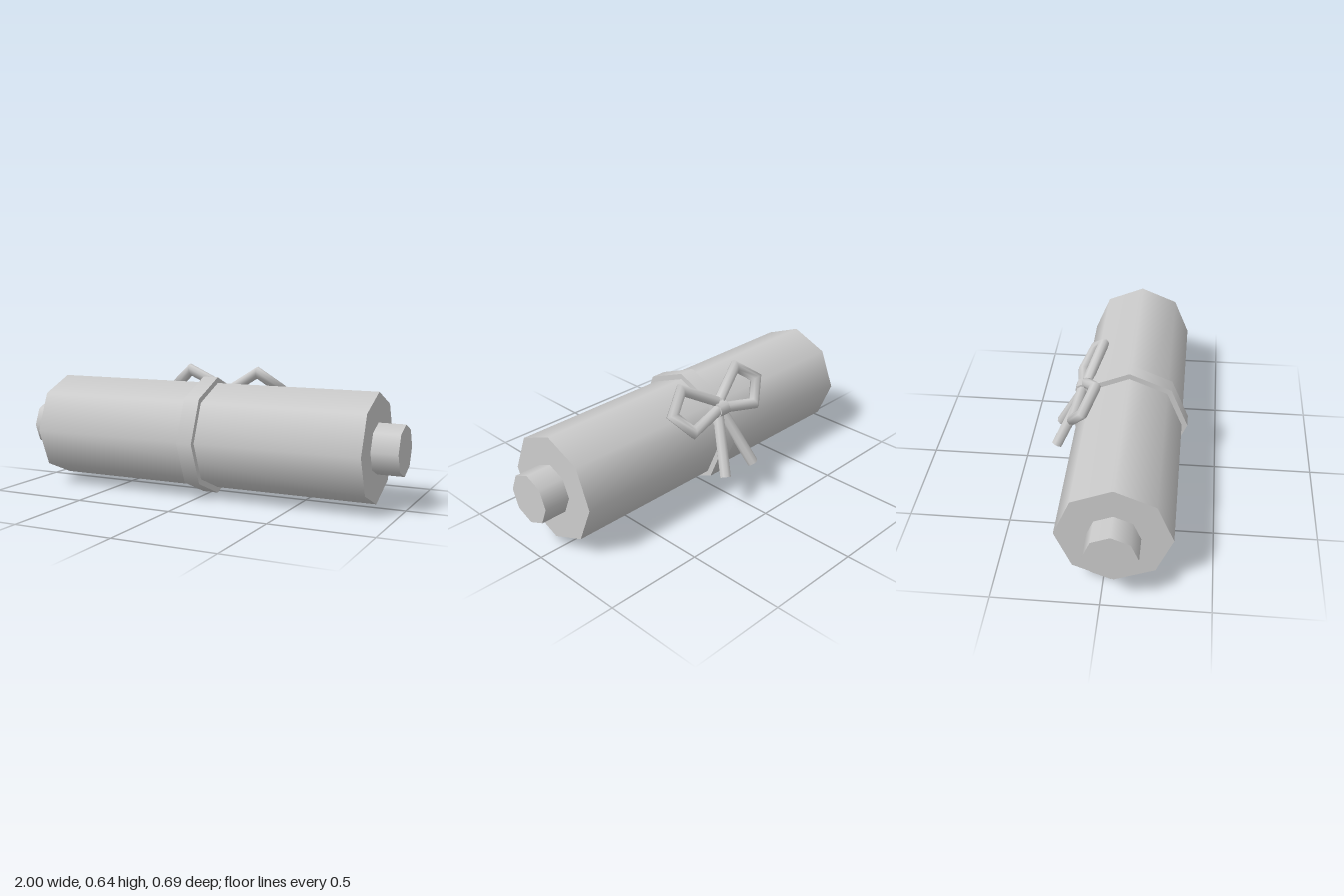
import * as THREE from 'three';

const SIDES = 8;
const V = (x, y, z) => new THREE.Vector3(x, y, z);

// Eight-sided tube through points lying in a plane with normal n, mitred at each bend
function miteredTube(points, n, radius) {
  const pos = [], index = [];
  points.forEach((p, i) => {
    const a = points[Math.max(i - 1, 0)], b = points[Math.min(i + 1, points.length - 1)];
    const tIn = (i > 0 ? p.clone().sub(a) : b.clone().sub(p)).normalize();
    const tOut = (i < points.length - 1 ? b.clone().sub(p) : tIn.clone()).normalize();
    const t = tIn.clone().add(tOut).normalize();
    const side = n.clone().cross(t).normalize().divideScalar(Math.max(t.dot(tIn), 0.6));
    for (let k = 0; k < SIDES; k++) {
      const ang = (k / SIDES) * Math.PI * 2;
      const v = p.clone().addScaledVector(n, radius * Math.cos(ang)).addScaledVector(side, radius * Math.sin(ang));
      pos.push(v.x, v.y, v.z);
    }
    if (i === 0) return;
    for (let k = 0; k < SIDES; k++) {
      const k2 = (k + 1) % SIDES, r0 = (i - 1) * SIDES, r1 = i * SIDES;
      index.push(r0 + k, r0 + k2, r1 + k2, r0 + k, r1 + k2, r1 + k);
    }
  });
  const g = new THREE.BufferGeometry();
  g.setAttribute('position', new THREE.Float32BufferAttribute(pos, 3));
  g.setIndex(index);
  g.computeVertexNormals();
  return g;
}

export function createModel() {
  const group = new THREE.Group();
  const grey = new THREE.MeshStandardMaterial({ color: 0xcccccc });
  grey.name = 'plain grey';
  const tubeGrey = grey;
  tubeGrey.side = THREE.DoubleSide;

  const add = (name, geometry, parent = group) => {
    const mesh = new THREE.Mesh(geometry, grey);
    mesh.name = name;
    parent.add(mesh);
    return mesh;
  };

  // Roll, inner rod and ribbon band share one axis along x
  const roll = (name, radius, length) => {
    const g = new THREE.CylinderGeometry(radius, radius, length, SIDES);
    g.rotateZ(Math.PI / 2);
    add(name, g).position.set(0, 0.296, 0.05);
  };
  roll('paperRoll', 0.267, 1.74);
  roll('innerRod', 0.123, 2);
  roll('ribbonBand', 0.296, 0.08);

  // Bow lies in a slanted plane against the upper back of the roll
  const bow = new THREE.Group();
  bow.name = 'bow';
  group.add(bow);
  const normal = V(0, 0.526, -0.85).normalize();
  const onPlane = (x, z) => V(x, 0.613 + 1.62 * (z + 0.1), z);

  for (const s of [1, -1]) {
    const side = s > 0 ? 'left' : 'right';
    const path = [[0.01, -0.166], [0.19, -0.103], [0.295, -0.153], [0.215, -0.213], [0.01, -0.187]]
      .map(([x, z]) => onPlane(s * x, z));
    if (s < 0) path.reverse();
    add(side + 'BowLoop', miteredTube(path, normal, 0.027), bow);

    // Hanging ribbon end
    const from = V(s * 0.012, 0.455, -0.178), to = V(s * 0.1, 0.175, -0.318);
    const dir = to.clone().sub(from);
    const tail = add(side + 'RibbonTail', new THREE.CylinderGeometry(0.028, 0.028, dir.length(), SIDES), bow);
    tail.position.copy(from).add(to).multiplyScalar(0.5);
    tail.quaternion.setFromUnitVectors(V(0, 1, 0), dir.normalize());
  }

  // Knot holding the loops together
  const knot = new THREE.CylinderGeometry(0.038, 0.038, 0.06, SIDES);
  knot.rotateZ(Math.PI / 2);
  add('knot', knot, bow).position.set(0, 0.47, -0.185);

  return group;
}
